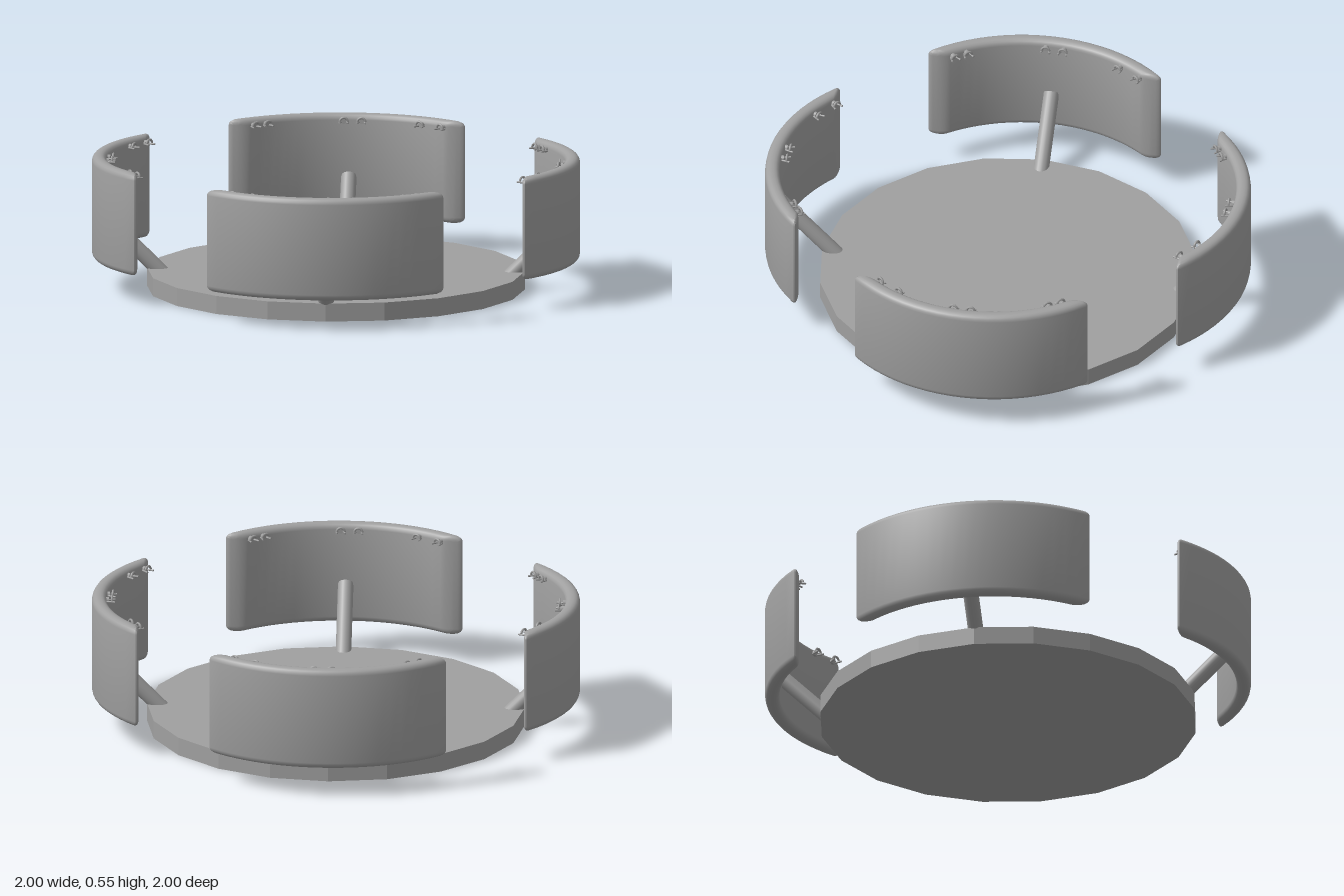
import * as THREE from 'three';
import { toCreasedNormals } from 'three/addons/utils/BufferGeometryUtils.js';

const CENTRE = 0.3, R_IN = 0.64, R_OUT = 0.7, END = 0.49; // panel arc in plan
const Y0 = 0.125, Y1 = 0.55, BEVEL = 0.025;

// Curved backrest swept from rounded cross-sections, with ends cut straight across
function panelGeometry() {
  const stations = [], ends = [];
  for (let k = 0; k <= 4; k++) {
    const p = (k / 4) * Math.PI / 2;
    ends.push([1 - (0.05 * (1 - Math.sin(p))), BEVEL * Math.cos(p)]);
  }
  for (const [u, r] of [...ends].reverse()) stations.push([-u, r]);
  for (let k = 1; k < 20; k++) stations.push([(-1 + k / 10) * 0.95, BEVEL]);
  stations.push(...ends);

  const corners = [[R_OUT - BEVEL, Y1 - BEVEL], [R_IN + BEVEL, Y1 - BEVEL],
    [R_IN + BEVEL, Y0 + BEVEL], [R_OUT - BEVEL, Y0 + BEVEL]];
  const pos = [], idx = [], steps = 4, n = corners.length * (steps + 1);
  for (const [u, r] of stations) {
    corners.forEach(([cr, cy], q) => {
      for (let s = 0; s <= steps; s++) {
        const t = (q + s / steps) * Math.PI / 2;
        const rho = cr + r * Math.cos(t), a = u * Math.acos(END / rho);
        pos.push(rho * Math.sin(a), cy + r * Math.sin(t), CENTRE + rho * Math.cos(a));
      }
    });
  }
  const last = (stations.length - 1) * n;
  for (let i = 0; i < last; i += n) {
    for (let j = 0; j < n; j++) {
      const k = (j + 1) % n;
      idx.push(i + j, i + n + j, i + n + k, i + j, i + n + k, i + k);
    }
  }
  // end caps
  for (let j = 1; j < n - 1; j++) {
    idx.push(0, j, j + 1, last, last + j + 1, last + j);
  }
  const g = new THREE.BufferGeometry();
  g.setAttribute('position', new THREE.Float32BufferAttribute(pos, 3));
  g.setIndex(idx);
  return toCreasedNormals(g, 0.7);
}

export function createModel() {
  const grey = new THREE.MeshStandardMaterial({ color: 0xa0a0a0 });
  const model = new THREE.Group();
  model.name = 'roundStand';

  function add(parent, name, geometry, x = 0, y = 0, z = 0) {
    const mesh = new THREE.Mesh(geometry, grey);
    mesh.name = name;
    mesh.position.set(x, y, z);
    parent.add(mesh);
    return mesh;
  }

  // Twenty-sided base disc
  const disc = new THREE.CylinderGeometry(0.775, 0.775, 0.075, 20);
  add(model, 'base', toCreasedNormals(disc, 0.1), 0, 0.0375, 0);

  const panel = panelGeometry();
  const strutFrom = new THREE.Vector3(0, 0.05, 0.71);
  const strutTo = new THREE.Vector3(0, 0.29, 0.95);
  const strutDir = strutTo.clone().sub(strutFrom);
  const strut = new THREE.CylinderGeometry(0.032, 0.032, strutDir.length(), 20);
  const arch = new THREE.TorusGeometry(0.016, 0.005, 6, 12, Math.PI);
  const peg = new THREE.CylinderGeometry(0.004, 0.004, 0.036, 8).rotateX(Math.PI / 2);
  const plate = new THREE.CylinderGeometry(0.012, 0.012, 0.012, 10).rotateX(Math.PI / 2);

  // Small two-pronged hook pointing towards the middle
  function makeHook() {
    const hook = new THREE.Group();
    hook.name = 'hook';
    add(hook, 'hookPlate', plate, 0, 0, -0.004);
    add(hook, 'hookArch', arch, 0, 0, -0.022);
    for (const s of [-1, 1]) {
      add(hook, 'hookProng', peg, s * 0.014, -0.004, -0.018).rotation.y = -s * 0.25;
    }
    return hook;
  }

  // Four identical sides around the base
  for (let i = 0; i < 4; i++) {
    const side = new THREE.Group();
    side.name = 'side' + (i + 1);
    side.rotation.y = i * Math.PI / 2;
    add(side, 'curvedPanel', panel);
    const mid = strutFrom.clone().add(strutTo).multiplyScalar(0.5);
    add(side, 'strut', strut, mid.x, mid.y, mid.z).quaternion
      .setFromUnitVectors(new THREE.Vector3(0, 1, 0), strutDir.clone().normalize());
    for (const x of [-0.395, -0.305, -0.055, 0.02, 0.335, 0.385]) {
      const a = Math.asin(x / R_IN);
      const hook = makeHook();
      hook.position.set(x, 0.522, CENTRE + R_IN * Math.cos(a));
      hook.rotation.y = a;
      side.add(hook);
    }
    model.add(side);
  }
  return model;
}
